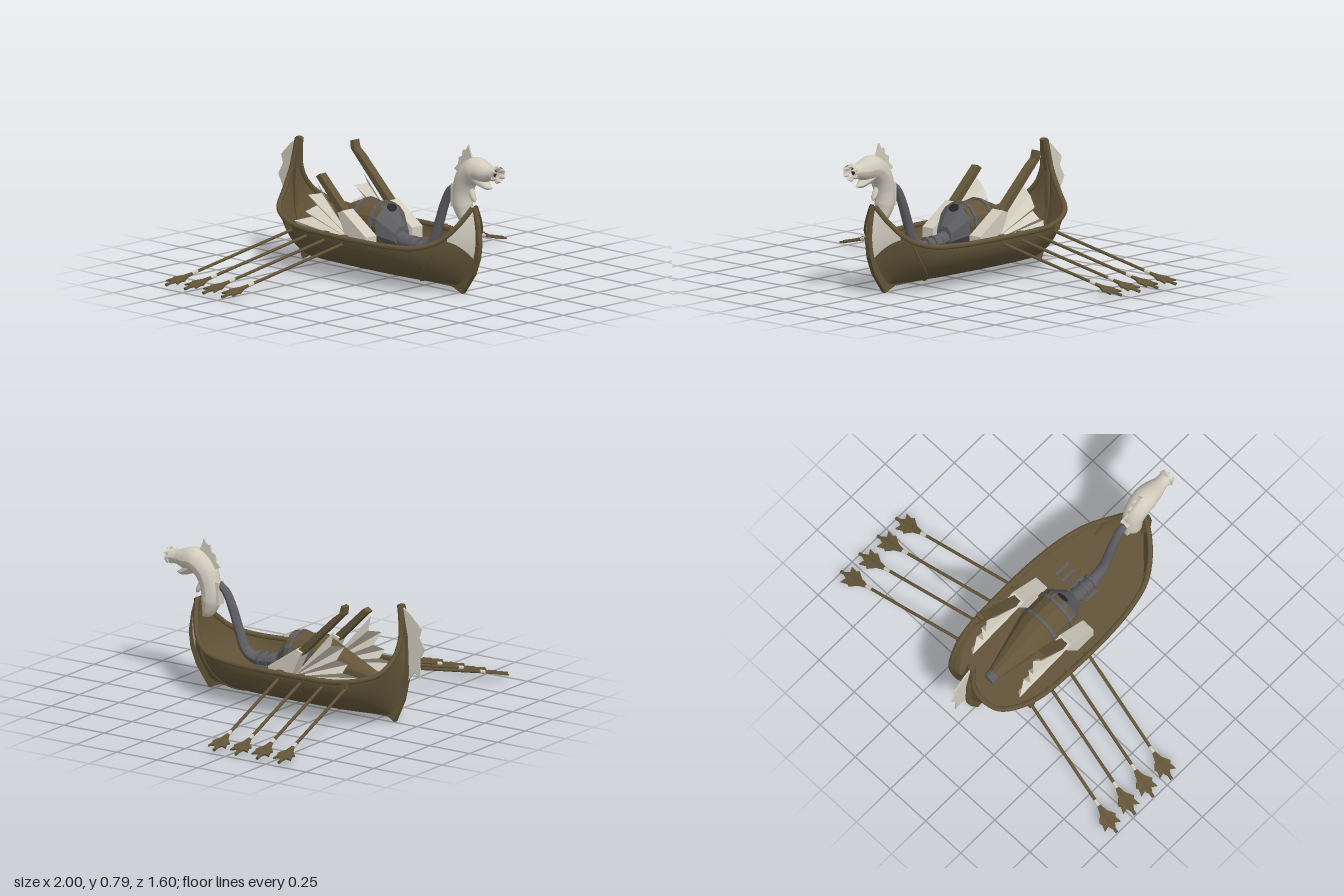
import * as THREE from 'three';

const mat = (name, color) => {
  const m = new THREE.MeshStandardMaterial({ color, side: THREE.DoubleSide });
  m.name = name;
  return m;
};
const V = (x, y, z) => new THREE.Vector3(x, y, z);

export function createModel() {
  const wood = mat('brown wood', 0x635539);
  const cream = mat('cream bone', 0xd2ccbe);
  const iron = mat('grey iron', 0x5e5e63);
  const dark = mat('dark opening', 0x29292b);
  const model = new THREE.Group();
  model.name = 'dragonBoat';

  const add = (name, geo, material, parent = model) => {
    const m = new THREE.Mesh(geo, material);
    m.name = name;
    parent.add(m);
    return m;
  };
  const facet = (g) => {
    const n = g.index ? g.toNonIndexed() : g;
    n.computeVertexNormals();
    return n;
  };
  // Upright plate from a [z, y] outline, centred on x
  const plate = (pts, thick, x = 0) => {
    const shape = new THREE.Shape(pts.map(([z, y]) => new THREE.Vector2(z, y)));
    const g = new THREE.ExtrudeGeometry(shape, { depth: thick, bevelEnabled: false });
    return g.rotateY(-Math.PI / 2).translate(x + thick / 2, 0, 0);
  };
  // Tube whose radius follows [z, y, r] stations
  const taper = (pts, segs, sides, widen = 1) => {
    const curve = new THREE.CatmullRomCurve3(pts.map(([z, y]) => V(0, y, z)));
    const g = new THREE.TubeGeometry(curve, segs, 1, sides);
    const p = g.attributes.position;
    for (let i = 0; i <= segs; i++) {
      const c = curve.getPointAt(i / segs);
      const t = curve.getUtoTmapping(i / segs) * (pts.length - 1);
      const k = Math.min(Math.floor(t), pts.length - 2);
      const r = THREE.MathUtils.lerp(pts[k][2], pts[k + 1][2], t - k);
      for (let j = 0; j <= sides; j++) {
        const n = i * (sides + 1) + j;
        p.setXYZ(n, p.getX(n) * r * widen, c.y + (p.getY(n) - c.y) * r, c.z + (p.getZ(n) - c.z) * r);
      }
    }
    g.computeVertexNormals();
    return g;
  };
  // Turned part along z from [z, r] stations, with an axis height that may slope
  const turned = (pts, sides, axisY) => {
    const g = new THREE.LatheGeometry(pts.map(([z, r]) => new THREE.Vector2(r, z)), sides, Math.PI / sides);
    g.rotateX(Math.PI / 2);
    const p = g.attributes.position;
    for (let i = 0; i < p.count; i++) p.setY(i, p.getY(i) + axisY(p.getZ(i)));
    return facet(g);
  };
  // Grid surface from a function of (u, v)
  const surface = (fn, nu, nv) => {
    const g = new THREE.PlaneGeometry(1, 1, nu, nv);
    const p = g.attributes.position;
    for (let i = 0; i < p.count; i++) {
      const q = fn(p.getX(i) + 0.5, p.getY(i) + 0.5);
      p.setXYZ(i, q.x, q.y, q.z);
    }
    g.computeVertexNormals();
    return g;
  };

  // Hull, lofted between the rim line and the keel line
  const rim = new THREE.CatmullRomCurve3([
    [0.012, 0.63, -0.655], [0.035, 0.47, -0.675], [0.09, 0.37, -0.67], [0.165, 0.30, -0.635],
    [0.22, 0.265, -0.55], [0.26, 0.245, -0.42], [0.275, 0.24, -0.2], [0.275, 0.24, 0.05],
    [0.255, 0.24, 0.25], [0.215, 0.25, 0.4], [0.15, 0.29, 0.5], [0.08, 0.37, 0.565], [0.012, 0.46, 0.605],
  ].map((a) => V(...a)));
  const keel = new THREE.CatmullRomCurve3(
    [-0.61, -0.6, -0.58, -0.54, -0.48, -0.37, -0.2, 0.05, 0.22, 0.34, 0.42, 0.48, 0.53].map((z) => V(0, 0.035, z)));
  const hull = (u, v, s = 1) => {
    const r = rim.getPoint(u), k = keel.getPoint(u), f = 1 - Math.cos(v * Math.PI / 2), e = 2 * u - 1;
    const bulge = 0.055 * Math.sign(e) * e ** 4 * Math.sin(Math.PI * f);
    return V(s * r.x * Math.sin(v * Math.PI / 2), k.y + (r.y - k.y) * f, k.z + (r.z - k.z) * f + bulge);
  };
  const deckEdge = (u, s) => {
    const r = rim.getPoint(u);
    return hull(u, Math.acos(1 - (0.17 - 0.035) / (r.y - 0.035)) * 2 / Math.PI, s);
  };
  for (const s of [1, -1]) {
    add('hullSide', surface((u, v) => hull(u, v, s), 64, 16), wood);
    const rail = new THREE.CatmullRomCurve3([...Array(41).keys()].map((i) => hull(i / 40, 1, s)));
    add('rimRail', new THREE.TubeGeometry(rail, 80, 0.014, 6), wood);
    add('bowPanel', surface((a, b) => {
      const u = 0.87 + 0.13 * a, v0 = 0.93 - 0.36 * a;
      return hull(u, v0 + (1 - v0) * b, s).add(V(s * 0.004, 0, 0.004));
    }, 12, 10), cream);
    const rib = new THREE.CatmullRomCurve3([...Array(9).keys()].map((i) => hull(0.69 + 0.14 * i / 8, i / 8, s)));
    add('bowRib', new THREE.TubeGeometry(rib, 20, 0.007, 5), wood);
  }
  add('deck', surface((u, v) => deckEdge(u, 1).multiply(V(2 * v - 1, 1, 1)), 48, 2), wood);

  // Keel with stem and stern post
  add('keelAndPosts', plate([
    [-0.645, 0.637], [-0.665, 0.637], [-0.698, 0.47], [-0.705, 0.27], [-0.675, 0.13], [-0.62, 0.005], [-0.58, 0.028], [0.46, 0.028],
    [0.53, 0.0], [0.61, 0.11], [0.645, 0.2], [0.655, 0.28], [0.64, 0.38], [0.615, 0.465],
    [0.595, 0.46], [0.625, 0.28], [0.59, 0.14], [0.5, 0.05],
    [-0.55, 0.05], [-0.64, 0.14], [-0.67, 0.27], [-0.665, 0.47], [-0.635, 0.63],
  ], 0.026), wood);
  add('sternFin', plate([
    [-0.66, 0.625], [-0.71, 0.595], [-0.78, 0.525], [-0.767, 0.48], [-0.8, 0.42], [-0.768, 0.36],
    [-0.775, 0.26], [-0.735, 0.285], [-0.70, 0.24], [-0.69, 0.4], [-0.685, 0.5],
  ], 0.009), cream);

  // Dragon head on its curved neck
  const head = new THREE.Group();
  head.name = 'dragonHead';
  model.add(head);
  add('neckAndSkull', taper([
    [0.575, 0.37, 0.004], [0.545, 0.40, 0.035], [0.525, 0.46, 0.052], [0.528, 0.54, 0.054], [0.56, 0.62, 0.062],
    [0.62, 0.663, 0.066], [0.68, 0.66, 0.055], [0.73, 0.66, 0.038], [0.765, 0.66, 0.036], [0.785, 0.66, 0.042],
  ], 48, 16), cream, head);
  add('lowerJaw', taper([[0.62, 0.63, 0.035], [0.67, 0.602, 0.026], [0.705, 0.585, 0.016], [0.735, 0.582, 0.003]], 12, 10, 1.4), cream, head);
  add('mouthOpening', new THREE.CircleGeometry(0.024, 14).translate(0, 0.66, 0.745), dark, head);
  for (let i = 0; i < 6; i++) {
    const a = i * Math.PI / 3 + Math.PI / 6;
    add('snoutSpike', new THREE.ConeGeometry(0.014, 0.035, 5).rotateX(Math.PI / 2)
      .translate(0.035 * Math.cos(a), 0.66 + 0.035 * Math.sin(a), 0.785), cream, head);
  }
  add('beard', taper([[0.575, 0.57, 0.012], [0.592, 0.53, 0.016], [0.605, 0.505, 0.014], [0.615, 0.49, 0.003]], 10, 8), cream, head);
  add('crest', plate([
    [0.60, 0.71], [0.582, 0.745], [0.568, 0.785], [0.55, 0.755], [0.53, 0.755], [0.522, 0.72], [0.498, 0.71],
    [0.495, 0.675], [0.465, 0.645], [0.50, 0.63], [0.56, 0.68],
  ], 0.009), cream, head);
  add('napeClamp', new THREE.BoxGeometry(0.05, 0.12, 0.022).translate(0, 0.51, 0.473), cream, head);

  // Feed pipe from the boiler up to the nape
  add('feedPipe', taper([
    [0.06, 0.22, 0.042], [0.15, 0.205, 0.036], [0.25, 0.20, 0.031], [0.31, 0.235, 0.029],
    [0.35, 0.33, 0.026], [0.39, 0.44, 0.025], [0.43, 0.52, 0.023], [0.475, 0.56, 0.018],
  ], 36, 10), iron);
  for (const z of [0.12, 0.17, 0.22]) {
    add('pipeCollar', new THREE.CylinderGeometry(0.042, 0.042, 0.016, 10).rotateX(Math.PI / 2).translate(0, 0.205, z), iron);
  }
  for (const x of [-0.05, 0.05, 0.11, 0.155]) {
    add('deckSlat', new THREE.BoxGeometry(0.016, 0.012, 0.09).translate(x, 0.176, 0.17), iron);
  }

  // Boiler lying on the deck
  const level = () => 0.28;
  add('boilerDrum', turned([[-0.18, 0], [-0.18, 0.11], [0, 0.11], [0, 0]], 14, level), wood);
  for (const z of [-0.165, -0.045]) {
    add('boilerBand', turned([[z, 0.1], [z, 0.119], [z + 0.016, 0.119], [z + 0.016, 0.1]], 14, level), iron);
  }
  const slope = (z) => 0.28 + (z + 0.18) * 0.19;
  add('boilerCone', turned([[-0.5, 0.032], [-0.18, 0.11]], 12, slope), wood);
  add('boilerConeTip', turned([[-0.53, 0], [-0.53, 0.03], [-0.495, 0.036], [-0.495, 0]], 12, slope), iron);
  add('boilerFront', turned([[-0.035, 0.112], [0, 0.112], [0.085, 0.055], [0.085, 0]], 8,
    (z) => 0.28 - Math.max(0, z) * 0.6), iron);
  const port = add('boilerPort', new THREE.CylinderGeometry(0.032, 0.032, 0.008, 16), dark);
  port.scale.z = 0.7;
  port.position.set(0, 0.368, 0.013);
  port.rotation.x = 0.9;

  // Slanted booms, their sockets and the pleated fans
  const boomOutline = {
    1: [[-0.06, 0.22], [-0.37, 0.53], [-0.425, 0.585], [-0.43, 0.625], [-0.412, 0.632], [-0.40, 0.59], [-0.36, 0.56], [-0.04, 0.255]],
    [-1]: [[-0.06, 0.22], [-0.345, 0.505], [-0.32, 0.522], [-0.04, 0.255]],
  };
  const fanEdge = [[-0.335, 0.475], [-0.35, 0.41], [-0.4, 0.4], [-0.385, 0.34], [-0.42, 0.31], [-0.42, 0.275], [-0.5, 0.25], [-0.46, 0.18]];
  for (const s of [1, -1]) {
    const x = s * 0.167;
    add('boom', plate(boomOutline[s], 0.046, x), wood);
    add('boomSocket', plate([[0.03, 0.17], [0.03, 0.245], [-0.14, 0.36], [-0.175, 0.345], [-0.09, 0.17]], 0.076, x), cream);
    const tri = [];
    for (let i = 0; i < fanEdge.length - 1; i++) {
      tri.push(x, 0.2, -0.1);
      for (const j of [i, i + 1]) tri.push(x + (j % 2 ? 0.024 : -0.024), fanEdge[j][1], fanEdge[j][0]);
    }
    const g = new THREE.BufferGeometry();
    g.setAttribute('position', new THREE.Float32BufferAttribute(tri, 3));
    g.computeVertexNormals();
    add('pleatedFan', g, cream);
  }

  // Oars with fishtail blades
  const half = [[0, 0.008], [0.045, 0.02], [0.085, 0.05], [0.098, 0.04], [0.135, 0.05], [0.122, 0.02], [0.15, 0.006]];
  const outline = [...half, ...half.slice().reverse().map(([a, b]) => [a, -b])];
  const bladeShape = new THREE.Shape(outline.map((p) => new THREE.Vector2(...p)));
  for (const s of [1, -1]) {
    for (const z of [-0.478, -0.343, -0.21, -0.075]) {
      const from = V(s * 0.27, 0.205, z), d = V(s, 0.022, z - (s > 0 ? 0.105 : 0.142)).sub(from), L = d.length();
      const oar = new THREE.Group();
      oar.name = 'oar';
      oar.position.copy(from);
      oar.rotation.set(0, Math.atan2(-d.z, d.x), Math.asin(d.y / L), 'YZX');
      model.add(oar);
      const rod = (name, a, b, r, m) =>
        add(name, new THREE.CylinderGeometry(r, r, b - a, 8).rotateZ(Math.PI / 2).translate((a + b) / 2, 0, 0), m, oar);
      rod('oarShaft', -0.03, L, 0.0085, wood);
      rod('oarFerrule', L - 0.2, L - 0.165, 0.0105, cream);
      add('oarBlade', new THREE.ExtrudeGeometry(bladeShape, { depth: 0.009, bevelEnabled: false })
        .translate(L - 0.17, 0, -0.0045).rotateX(Math.PI / 2), wood, oar);
      add('oarLock', new THREE.BoxGeometry(0.018, 0.03, 0.035).translate(s * 0.255, 0.235, z), wood);
    }
  }
  return model;
}
